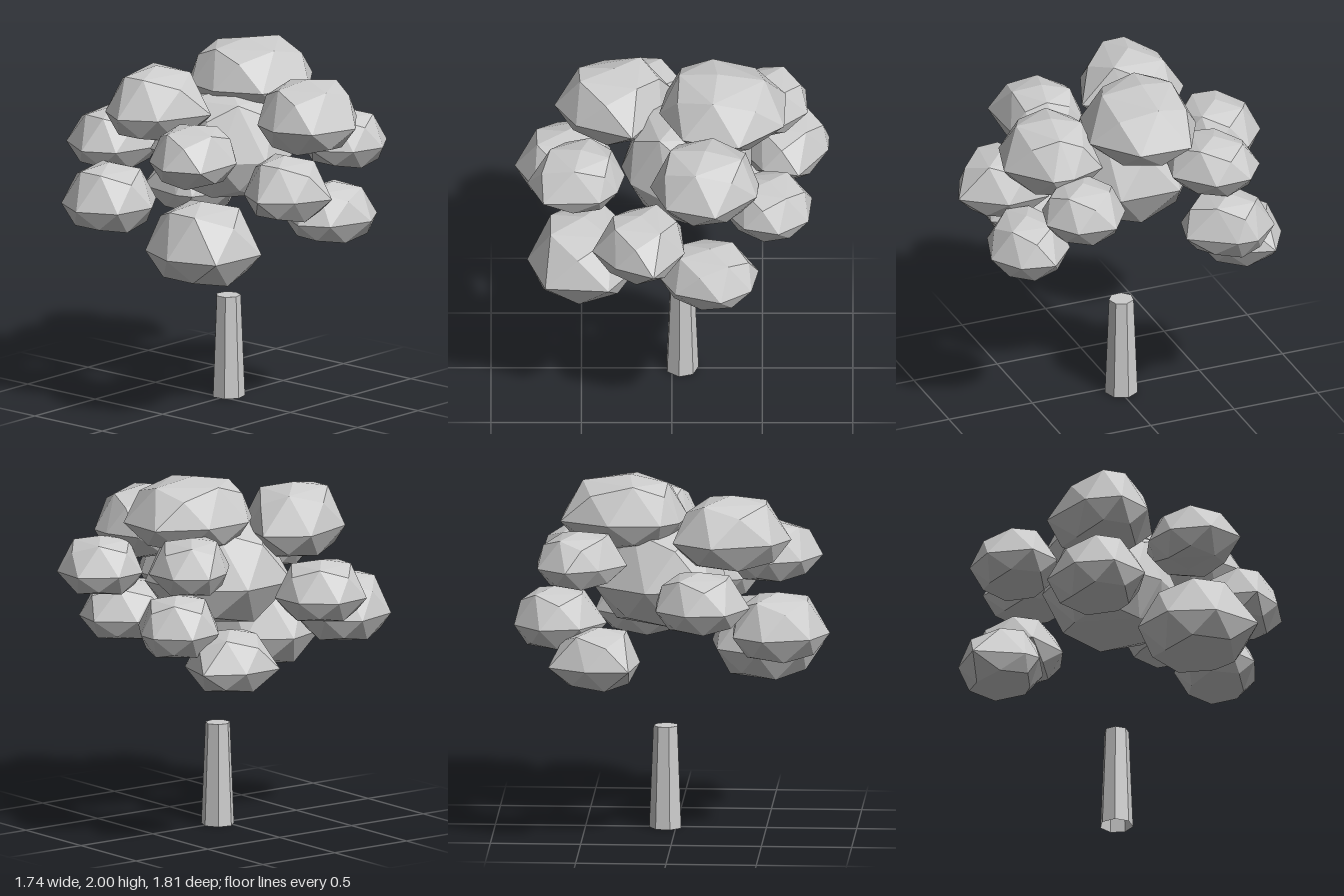
import * as THREE from 'three';
import { ConvexGeometry } from 'three/addons/geometries/ConvexGeometry.js';

// Leaf clump: a level ridge outline [x, z, x, z, ...] capped above and below.
// The rings over and under the ridge sit on the middles of its edges.
function clumpGeometry(bottom, top, outline) {
  const n = outline.length / 2;
  const ridgeY = THREE.MathUtils.lerp(bottom, top, 0.41);
  const ridge = [];
  const centre = new THREE.Vector3();
  for (let i = 0; i < n; i++) {
    ridge.push(new THREE.Vector3(outline[2 * i], ridgeY, outline[2 * i + 1]));
    centre.addScaledVector(ridge[i], 1 / n);
  }

  const points = [...ridge];
  ridge.forEach((p, i) => {
    const middle = p.clone().lerp(ridge[(i + 1) % n], 0.5);
    const high = i % 2 === 0;
    const upper = centre.clone().lerp(middle, high ? 0.7 : 0.86);
    upper.y = THREE.MathUtils.lerp(ridgeY, top, high ? 0.85 : 0.62);
    const lower = centre.clone().lerp(middle, high ? 0.84 : 0.7);
    lower.y = THREE.MathUtils.lerp(ridgeY, bottom, high ? 0.66 : 0.86);
    points.push(upper, lower);
  });
  points.push(centre.clone().setY(top), centre.clone().setY(bottom));
  return new ConvexGeometry(points);
}

export function createModel() {
  const tree = new THREE.Group();
  tree.name = 'tree';
  const paleGrey = new THREE.MeshStandardMaterial({
    color: 0xcccccc, flatShading: true, side: THREE.DoubleSide,
  });
  paleGrey.name = 'paleGrey';

  // Seven-sided tapered trunk, hollow underneath, with a flat top
  const turn = THREE.MathUtils.degToRad(42);
  const trunk = new THREE.Group();
  trunk.name = 'trunk';
  trunk.position.set(0.055, 0, -0.01);
  const bark = new THREE.Mesh(
    new THREE.CylinderGeometry(0.07, 0.093, 0.575, 7, 1, true, turn), paleGrey);
  bark.name = 'trunkSides';
  bark.position.y = 0.2875;
  const cap = new THREE.Mesh(
    new THREE.CircleGeometry(0.07, 7, turn - Math.PI / 2).rotateX(-Math.PI / 2), paleGrey);
  cap.name = 'trunkTop';
  cap.position.y = 0.575;
  trunk.add(bark, cap);
  tree.add(trunk);

  // Crown of clumps: bottom, top, ridge outline seen from above
  const clumps = {
    coreClump: [1.145, 1.76,
      [-0.28, 0, -0.2, -0.36, 0.15, -0.41, 0.44, -0.2, 0.44, 0.15, 0.2, 0.33, -0.02, 0.34, -0.23, 0.16]],
    topLeftClump: [1.59, 2,
      [-0.07, -0.01, -0.03, -0.21, 0.07, -0.31, 0.36, -0.33, 0.63, -0.19, 0.62, 0.11, 0.37, 0.31, 0.06, 0.24]],
    topRightClump: [1.5, 1.92,
      [-0.65, -0.2, -0.55, -0.38, -0.22, -0.5, 0, -0.35, -0.06, -0.13, -0.22, 0.11, -0.53, -0.01]],
    upperFrontClump: [1.45, 1.86,
      [-0.12, 0.48, -0.06, 0.31, 0.08, 0.21, 0.41, 0.25, 0.48, 0.45, 0.47, 0.57, 0.24, 0.77, -0.03, 0.69]],
    upperRightClump: [1.35, 1.69,
      [-0.8, 0.27, -0.69, 0.07, -0.51, 0, -0.35, 0.04, -0.26, 0.2, -0.3, 0.36, -0.4, 0.46, -0.71, 0.47]],
    backRightClump: [1.01, 1.4,
      [-0.87, -0.31, -0.77, -0.51, -0.51, -0.59, -0.34, -0.47, -0.33, -0.2, -0.52, -0.06, -0.76, -0.1]],
    lowerRightClump: [0.79, 1.26,
      [-0.8, 0.3, -0.7, 0.575, -0.35, 0.6, -0.18, 0.36, -0.22, 0.1, -0.45, -0.045, -0.7, 0.05]],
    frontClump: [1.15, 1.52,
      [-0.44, 0.65, -0.34, 0.46, -0.14, 0.38, 0.05, 0.42, 0.07, 0.67, -0.1, 0.9, -0.31, 0.81]],
    lowerFrontClump: [0.96, 1.3,
      [-0.07, 0.62, 0.02, 0.78, 0.27, 0.86, 0.44, 0.75, 0.48, 0.56, 0.3, 0.4, 0.05, 0.4]],
    frontLeftClump: [1.29, 1.62,
      [0.27, 0.42, 0.4, 0.22, 0.59, 0.19, 0.775, 0.32, 0.755, 0.54, 0.59, 0.66, 0.4, 0.61]],
    leftClump: [1.09, 1.44,
      [0.36, -0.4, 0.5, -0.6, 0.72, -0.65, 0.87, -0.49, 0.865, -0.37, 0.7, -0.13, 0.5, -0.18]],
    upperBackLeftClump: [1.42, 1.74,
      [0.25, -0.37, 0.4, -0.54, 0.58, -0.62, 0.74, -0.5, 0.75, -0.29, 0.55, -0.11, 0.33, -0.16]],
    lowerBackLeftClump: [0.89, 1.24,
      [0.17, -0.5, 0.22, -0.79, 0.46, -0.8, 0.67, -0.68, 0.6, -0.42, 0.42, -0.32, 0.2, -0.41]],
    backClump: [1.235, 1.58,
      [-0.445, -0.65, -0.32, -0.875, -0.1, -0.91, 0.07, -0.77, 0.08, -0.56, -0.09, -0.41, -0.35, -0.48]],
  };
  const crown = new THREE.Group();
  crown.name = 'crown';
  for (const [name, spec] of Object.entries(clumps)) {
    const clump = new THREE.Mesh(clumpGeometry(...spec), paleGrey);
    clump.name = name;
    crown.add(clump);
  }
  tree.add(crown);

  return tree;
}
